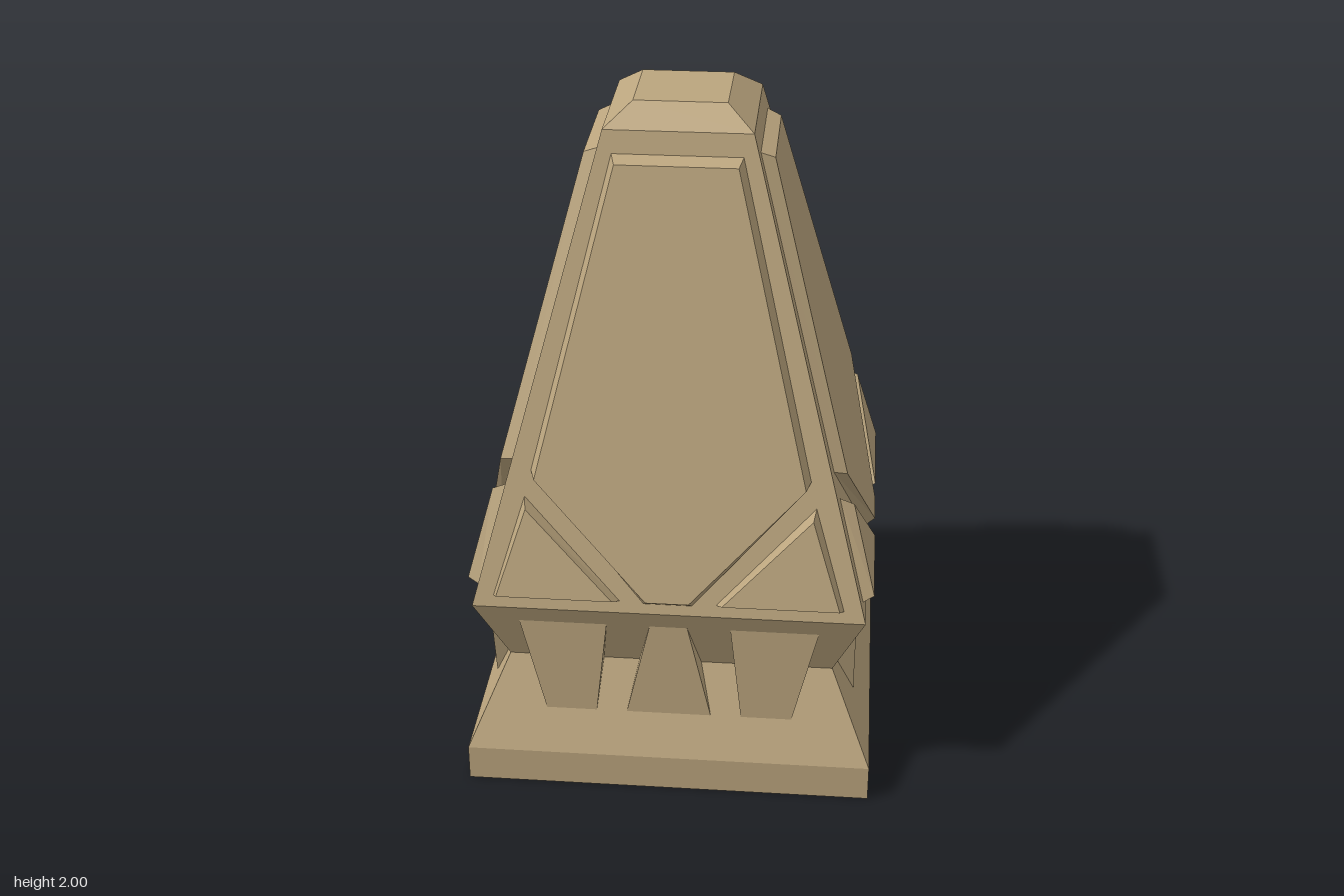
import * as THREE from 'three';

const stone = new THREE.MeshStandardMaterial({ color: 0xbba57e });
stone.name = 'sandstone';
stone.flatShading = true;

// Depth of the sloping tower wall at height y
const wallZ = (y) => 0.57 - (y - 0.6) * (0.36 / 1.34);
const mirror = (pts) => pts.map(([x, y]) => [-x, y]).reverse();

// Bevelled raised plate: joins a counter-clockwise outline on the wall to a smaller raised one
function raisedPlate(base, face, lift) {
  const n = base.length;
  const verts = [];
  base.forEach(([x, y]) => verts.push(x, y, wallZ(y)));
  face.forEach(([x, y]) => verts.push(x, y, wallZ(y) + lift));
  const index = [];
  for (let i = 0; i < n; i++) {
    const j = (i + 1) % n;
    index.push(i, j, n + j, i, n + j, n + i);
    if (i > 0 && i < n - 1) index.push(n, n + i, n + i + 1);
  }
  const geo = new THREE.BufferGeometry();
  geo.setAttribute('position', new THREE.Float32BufferAttribute(verts, 3));
  geo.setIndex(index);
  const flat = geo.toNonIndexed();
  flat.computeVertexNormals();
  return flat;
}

// Upright bracket with a trapezoid front, filling the waist
function bracketGeometry(outline) {
  const shape = new THREE.Shape(outline.map(([x, y]) => new THREE.Vector2(x, y)));
  const geo = new THREE.ExtrudeGeometry(shape, { depth: 0.1, bevelEnabled: false });
  return geo.translate(0, 0, 0.446);
}

export function createModel() {
  const model = new THREE.Group();
  model.name = 'stoneTower';
  const add = (parent, geo, name) => {
    const mesh = new THREE.Mesh(geo, stone);
    mesh.name = name;
    parent.add(mesh);
  };

  // Square body: plinth, narrow waist, tapering tower and cap
  const profile = [
    [0, 0], [0.6, 0], [0.6, 0.11], [0.48, 0.38], [0.57, 0.6],
    [0.21, 1.94], [0.132, 2], [0, 2],
  ].map(([r, y]) => new THREE.Vector2(r * Math.SQRT2, y));
  add(model, new THREE.LatheGeometry(profile, 4, Math.PI / 4), 'body');

  // Outlines as seen on one side
  const panelBase = [[-0.07, 0.63], [0.07, 0.63], [0.4, 1], [0.183, 1.877], [-0.183, 1.877], [-0.4, 1]];
  const panelFace = [[-0.062, 0.652], [0.062, 0.652], [0.387, 0.99], [0.172, 1.86], [-0.172, 1.86], [-0.387, 0.99]];
  const cornerBase = [[0.14, 0.635], [0.507, 0.635], [0.418, 0.925]];
  const cornerFace = [[0.158, 0.65], [0.495, 0.65], [0.411, 0.905]];
  const middleBracket = [[-0.125, 0.235], [0.125, 0.235], [0.053, 0.55], [-0.053, 0.55]];
  const outerBracket = [[0.215, 0.235], [0.365, 0.235], [0.44, 0.55], [0.18, 0.55]];

  // The same panels and brackets on all four sides
  for (let i = 0; i < 4; i++) {
    const side = new THREE.Group();
    side.name = 'side' + (i + 1);
    side.rotation.y = (i * Math.PI) / 2;
    add(side, raisedPlate(panelBase, panelFace, 0.036), 'mainPanel');
    add(side, raisedPlate(cornerBase, cornerFace, 0.036), 'leftCornerPanel');
    // Mirrored outlines are reversed, so both stay matched point for point
    add(side, raisedPlate(mirror(cornerBase), mirror(cornerFace), 0.036), 'rightCornerPanel');
    add(side, bracketGeometry(middleBracket), 'middleBracket');
    add(side, bracketGeometry(outerBracket), 'leftBracket');
    add(side, bracketGeometry(mirror(outerBracket)), 'rightBracket');
    model.add(side);
  }
  return model;
}
